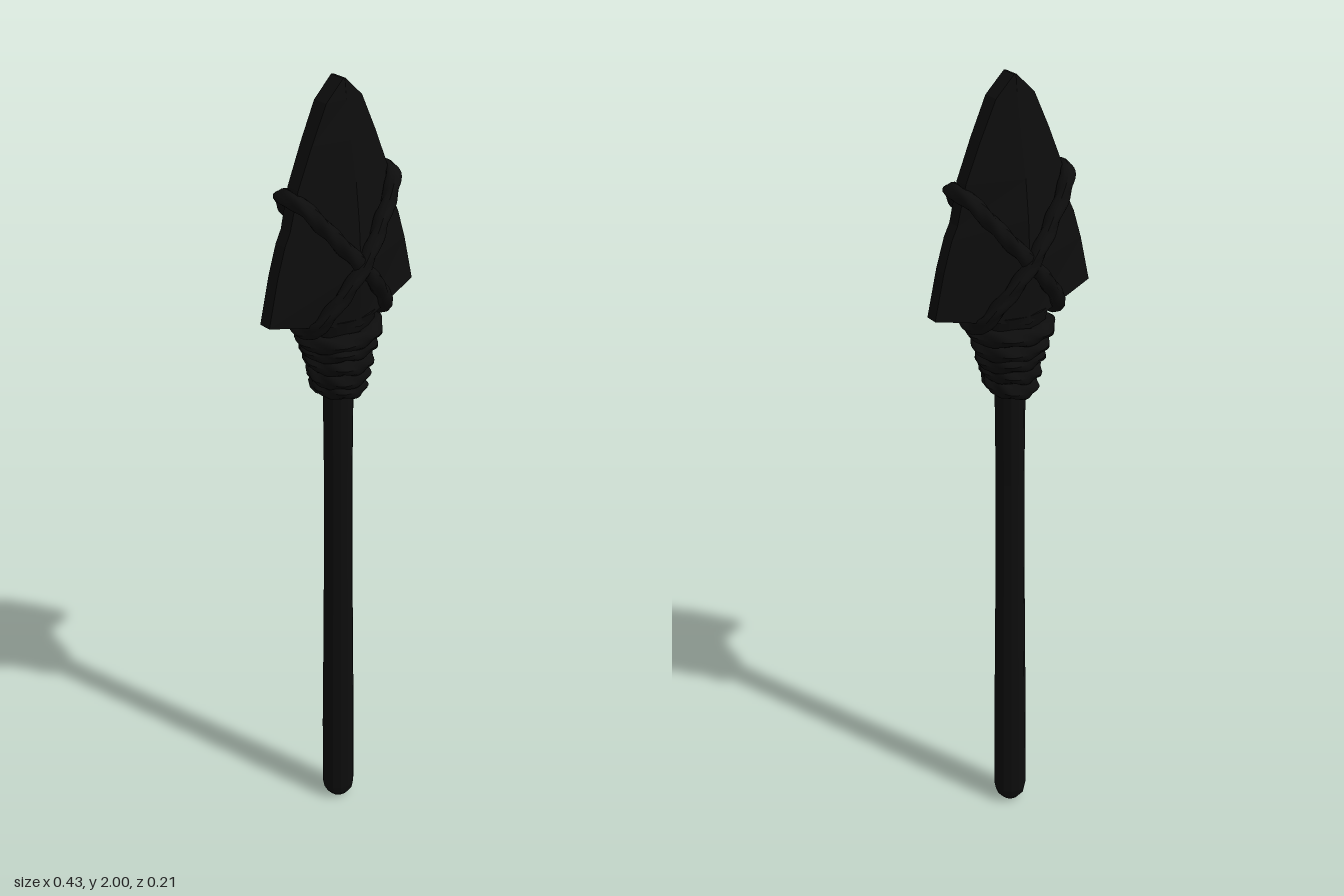
import * as THREE from 'three';

const dark = new THREE.MeshStandardMaterial({ color: 0x0d0d0d });
const darkFlat = new THREE.MeshStandardMaterial({ color: 0x0d0d0d, flatShading: true });
const V = (x, y, z) => new THREE.Vector3(x, y, z);

function addMesh(parent, name, geometry, material) {
  const mesh = new THREE.Mesh(geometry, material);
  mesh.name = name;
  parent.add(mesh);
  return mesh;
}

// Closed tube with three twisted strands pressed into its surface
function ropeGeometry(points, radius, twists) {
  const curve = new THREE.CatmullRomCurve3(points, true, 'centripetal');
  const along = 120, around = 12;
  const geo = new THREE.TubeGeometry(curve, along, radius, around, true);
  const pos = geo.attributes.position, nor = geo.attributes.normal;
  for (let i = 0; i < pos.count; i++) {
    const u = Math.floor(i / (around + 1)) / along;
    const a = (i % (around + 1)) / around * Math.PI * 2;
    const bump = radius * 0.14 * Math.cos(3 * a + u * twists * Math.PI * 2);
    pos.setXYZ(i, pos.getX(i) + nor.getX(i) * bump, pos.getY(i) + nor.getY(i) * bump, pos.getZ(i) + nor.getZ(i) * bump);
  }
  geo.computeVertexNormals();
  return geo;
}

// Six-sided blade sections: [edge y, ridge y, half width, half edge thickness, half ridge depth]
function headGeometry() {
  const rows = [
    [1.48, 1.44, 0.213, 0.016, 0.075],
    [1.59, 1.58, 0.187, 0.016, 0.078],
    [1.66, 1.66, 0.165, 0.016, 0.073],
    [1.69, 1.69, 0.15, 0.016, 0.071],
    [1.78, 1.78, 0.128, 0.018, 0.06],
    [1.87, 1.87, 0.09, 0.019, 0.043],
    [1.955, 1.955, 0.05, 0.02, 0.028],
    [2.0, 2.0, 0.003, 0.02, 0.022],
  ];
  const pos = [], idx = [];
  for (const [y, yc, w, t, d] of rows) {
    pos.push(w, y, t, w, y, -t, 0, yc, -d, -w, y, -t, -w, y, t, 0, yc, d);
  }
  for (let r = 0; r < rows.length - 1; r++) {
    for (let k = 0; k < 6; k++) {
      const a = r * 6 + k, b = r * 6 + (k + 1) % 6;
      idx.push(a, b, b + 6, a, b + 6, a + 6);
    }
  }
  // Underside of both wings and the tip
  const n = (rows.length - 1) * 6;
  idx.push(0, 5, 2, 0, 2, 1, 3, 2, 5, 3, 5, 4);
  for (let k = 1; k < 5; k++) idx.push(n, n + k, n + k + 1);
  const geo = new THREE.BufferGeometry();
  geo.setAttribute('position', new THREE.Float32BufferAttribute(pos, 3));
  geo.setIndex(idx);
  const flat = geo.toNonIndexed();
  flat.computeVertexNormals();
  return flat;
}

export function createModel() {
  const model = new THREE.Group();
  model.name = 'spear';

  // Shaft, slightly thicker at the rounded butt
  const profile = [[0, 0], [0.024, 0.006], [0.038, 0.024], [0.042, 0.045], [0.042, 0.25],
    [0.039, 0.5], [0.036, 0.8], [0.035, 1.0], [0.037, 1.3], [0, 1.3]];
  addMesh(model, 'shaft', new THREE.LatheGeometry(profile.map(p => new THREE.Vector2(...p)), 12), darkFlat);

  // Blade
  addMesh(model, 'spearhead', headGeometry(), darkFlat);

  // Oval neck joining the blade to the shaft
  const neck = addMesh(model, 'neck', new THREE.CylinderGeometry(0.1, 0.048, 0.2, 16), dark);
  neck.position.y = 1.36;
  neck.scale.z = 0.75;

  // Stacked rope turns: [y, outer half width, outer half depth]
  const turns = [[1.27, 0.062, 0.076], [1.305, 0.072, 0.08], [1.34, 0.084, 0.083], [1.375, 0.096, 0.088], [1.41, 0.11, 0.095]];
  const binding = new THREE.Group();
  binding.name = 'neckBinding';
  model.add(binding);
  turns.forEach(([y, w, d], i) => {
    const r = 0.02, points = [];
    for (let k = 0; k < 16; k++) {
      const a = k / 16 * Math.PI * 2;
      points.push(V(Math.cos(a) * (w - r), y + Math.sin(a + i * 2) * 0.004, Math.sin(a) * (d - r)));
    }
    addMesh(binding, 'ropeTurn', ropeGeometry(points, r, 6), dark);
  });

  // Two slanted rope loops crossing on both faces of the blade
  const front = [[0.132, 1.752, 0.032], [0.07, 1.675, 0.064], [0, 1.59, 0.083], [-0.07, 1.508, 0.07], [-0.104, 1.455, 0.042]];
  for (const s of [1, -1]) {
    const lift = s > 0 ? 0.002 : -0.002;
    const points = [
      V(0.144 * s, 1.763, 0),
      ...front.map(([x, y, z]) => V(x * s, y, z + lift)),
      V(-0.11 * s, 1.44, 0),
      ...[...front].reverse().map(([x, y, z]) => V(x * s, y, -z + lift)),
    ];
    addMesh(model, s > 0 ? 'leftCrossRope' : 'rightCrossRope', ropeGeometry(points, 0.0175, 12), dark);
  }

  return model;
}
